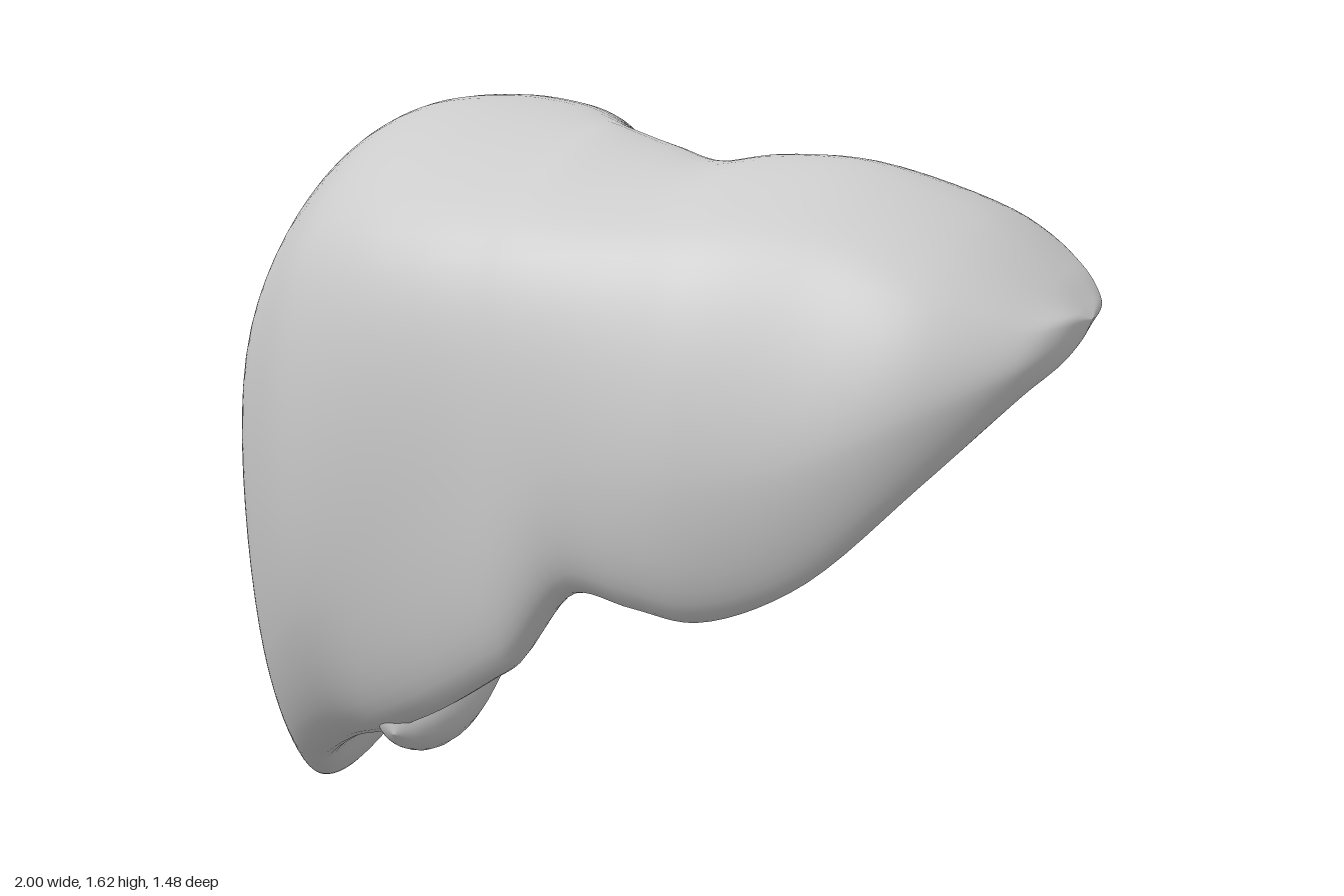
import * as THREE from 'three';

const material = () => new THREE.MeshStandardMaterial({ color: 0xcccccc, side: THREE.DoubleSide });

// Cross-sections: x, then eight (z, y) pairs:
// lower edge, lower front, upper front, crest, upper back, back, rear hollow, front hollow
const rightLobe = [
  [-0.97, 0.03, 0.5, 0.14, 0.66, 0.14, 0.99, -0.02, 1.17, -0.17, 1.07, -0.24, 0.86, -0.19, 0.64, -0.09, 0.52],
  [-0.925, 0.05, 0.03, 0.24, 0.42, 0.27, 1.04, -0.03, 1.32, -0.31, 1.2, -0.41, 0.83, -0.34, 0.2, -0.13, 0.01],
  [-0.86, 0.14, 0.06, 0.34, 0.38, 0.35, 1.12, -0.03, 1.43, -0.38, 1.29, -0.51, 0.84, -0.44, 0.21, -0.17, 0.08],
  [-0.78, 0.22, 0.12, 0.43, 0.42, 0.42, 1.18, -0.03, 1.51, -0.44, 1.36, -0.61, 0.85, -0.54, 0.32, -0.15, 0.27],
  [-0.6, 0.37, 0.22, 0.59, 0.54, 0.55, 1.29, 0, 1.59, -0.54, 1.42, -0.735, 0.88, -0.65, 0.53, -0.1, 0.5],
  [-0.42, 0.51, 0.29, 0.67, 0.65, 0.62, 1.34, 0, 1.61, -0.52, 1.45, -0.72, 0.92, -0.5, 0.67, 0.08, 0.6],
  [-0.25, 0.59, 0.37, 0.71, 0.75, 0.64, 1.35, 0.02, 1.595, -0.4, 1.45, -0.57, 1.03, -0.32, 0.77, 0.22, 0.69],
  [-0.1, 0.64, 0.46, 0.73, 0.82, 0.64, 1.35, 0.1, 1.565, -0.14, 1.43, -0.22, 1.1, -0.06, 0.8, 0.32, 0.73],
];
const leftLobe = [
  [-0.04, 0.65, 0.5, 0.735, 0.84, 0.64, 1.35, 0.14, 1.55, 0.01, 1.42, -0.02, 1.15, 0.04, 0.82, 0.35, 0.74],
  [0.09, 0.66, 0.66, 0.735, 0.92, 0.63, 1.35, 0.18, 1.515, 0, 1.4, -0.07, 1.18, 0.04, 0.86, 0.39, 0.78],
  [0.22, 0.65, 0.64, 0.735, 0.92, 0.62, 1.35, 0.25, 1.49, 0.03, 1.4, -0.04, 1.24, 0.06, 0.97, 0.38, 0.78],
  [0.35, 0.63, 0.62, 0.73, 0.92, 0.61, 1.35, 0.25, 1.505, -0.1, 1.39, -0.28, 1.15, 0.08, 1.11, 0.38, 0.83],
  [0.55, 0.61, 0.7, 0.69, 0.95, 0.56, 1.34, 0.25, 1.49, -0.05, 1.42, -0.19, 1.27, 0.15, 1.27, 0.44, 1.04],
  [0.78, 0.55, 0.91, 0.61, 1.05, 0.53, 1.26, 0.25, 1.395, 0.02, 1.39, -0.08, 1.34, 0.18, 1.27, 0.4, 1.11],
  [0.93, 0.44, 1.07, 0.48, 1.12, 0.44, 1.2, 0.24, 1.275, 0.1, 1.29, 0.04, 1.28, 0.18, 1.21, 0.32, 1.13],
  [0.98, 0.34, 1.13, 0.37, 1.16, 0.35, 1.2, 0.21, 1.225, 0.12, 1.235, 0.09, 1.225, 0.18, 1.18, 0.27, 1.145],
];

// Smooth skin stretched over the sections, closed to a point at each end
function loft(sections, startPole, endPole, along = 120, around = 88) {
  const rails = [];
  for (let r = 0; r < 8; r++) {
    const pts = sections.map(s => new THREE.Vector3(s[0], s[2 + 2 * r], s[1 + 2 * r]));
    rails.push(new THREE.CatmullRomCurve3([startPole, ...pts, endPole]));
  }
  const pos = [], index = [];
  for (let i = 0; i <= along; i++) {
    // ease sampling towards both ends
    const u = i / along, t = 0.6 * u + 0.4 * u * u * (3 - 2 * u);
    const ring = new THREE.CatmullRomCurve3(rails.map(c => c.getPoint(t)), true);
    for (let j = 0; j < around; j++) pos.push(...ring.getPoint(j / around).toArray());
  }
  for (let i = 0; i < along; i++) {
    for (let j = 0; j < around; j++) {
      const k = (j + 1) % around;
      const a = i * around + j, b = a + around, c = i * around + k, d = c + around;
      index.push(a, b, c, b, d, c);
    }
  }
  const geo = new THREE.BufferGeometry();
  geo.setAttribute('position', new THREE.Float32BufferAttribute(pos, 3));
  geo.setIndex(index);
  geo.computeVertexNormals();
  return geo;
}

// Tube whose radius follows a list of values along its path
function taperedTube(points, radii, steps = 40, sides = 24) {
  const path = new THREE.CatmullRomCurve3(points.map(p => new THREE.Vector3(...p)));
  const profile = new THREE.CatmullRomCurve3(radii.map(([t, r]) => new THREE.Vector3(t, r, 0)));
  const samples = profile.getPoints(200);
  const geo = new THREE.TubeGeometry(path, steps, 1, sides, false);
  const p = geo.attributes.position, v = new THREE.Vector3();
  for (let i = 0; i <= steps; i++) {
    const t = i / steps, centre = path.getPointAt(t);
    const s = samples.find(q => q.x >= t - 1e-6) || samples[200];
    for (let j = 0; j <= sides; j++) {
      const n = i * (sides + 1) + j;
      v.fromBufferAttribute(p, n).sub(centre).multiplyScalar(Math.max(s.y, 0.0005)).add(centre);
      p.setXYZ(n, v.x, v.y, v.z);
    }
  }
  geo.computeVertexNormals();
  return geo;
}

export function createModel() {
  const model = new THREE.Group();
  const add = (name, geo) => {
    const mesh = new THREE.Mesh(geo, material());
    mesh.name = name;
    model.add(mesh);
  };

  // Both lobes as one continuous body
  add('lobes', loft([...rightLobe, ...leftLobe],
    new THREE.Vector3(-1, 0.88, -0.03), new THREE.Vector3(1, 1.2, 0.21)));

  // Pear-shaped sac under the right lobe
  add('gallbladder', taperedTube(
    [[-0.2, 0.65, 0.15], [-0.3, 0.56, 0.18], [-0.37, 0.45, 0.28], [-0.385, 0.35, 0.42], [-0.39, 0.29, 0.55]],
    [[0, 0.012], [0.08, 0.03], [0.25, 0.085], [0.5, 0.11], [0.75, 0.115], [0.89, 0.09], [0.97, 0.045], [1, 0]], 80));

  // Raised ridge between the lobes
  add('middleRidge', taperedTube(
    [[0.1, 1.28, 0.01], [0.1, 1.1, 0.0], [0.08, 0.93, 0.03], [0.04, 0.78, 0.08]],
    [[0, 0], [0.1, 0.055], [0.5, 0.07], [0.8, 0.075], [0.95, 0.045], [1, 0]]));

  // Short vessels at the underside
  [[0, 0.17, 0.024], [0.05, 0.21, 0.018], [-0.03, 0.22, 0.018]].forEach(([x, z, r], i) => {
    add('vessel' + (i + 1), taperedTube(
      [[x, 0.84, z + 0.05], [x, 0.79, z + 0.01], [x, 0.74, z - 0.02]],
      [[0, r], [0.5, r], [0.95, r], [1, 0]], 16, 12));
  });

  return model;
}
